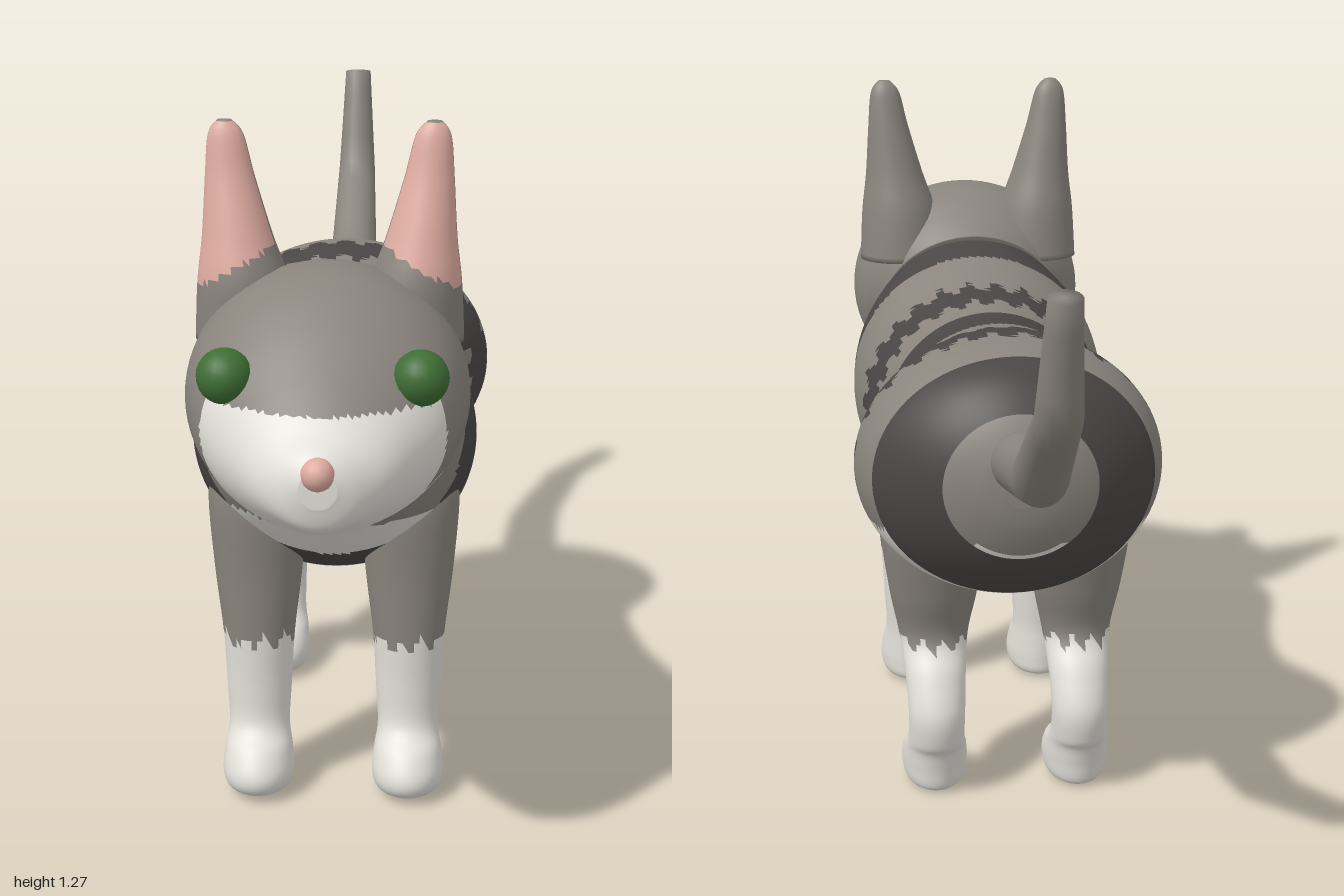
import * as THREE from 'three';

const material = (name, color) => new THREE.MeshStandardMaterial({ name, color });

// Smooth interpolation of one column of a section table
function catmull(a, b, c, d, t) {
  return b + 0.5 * t * (c - a + t * (2 * a - 5 * b + 4 * c - d + t * (3 * (b - c) + d - a)));
}

// Skin elliptical sections [z1, y1, z2, y2, halfWidth, centreX]. Points 1 and 2 are the
// opposite ends of a section: top/bottom (listed front to back) or front/back (listed upward).
function loft(rows, { side = 1, steps = 6, segs = 40, linear = false } = {}) {
  const rings = [];
  const n = rows.length;
  for (let i = 0; i < n - 1; i++) {
    for (let s = 0; s < steps + (i === n - 2 ? 1 : 0); s++) {
      const t = s / steps;
      rings.push(rows[i].map((b, k) => {
        const c = rows[i + 1][k];
        if (linear) return b + (c - b) * t;
        return catmull(rows[Math.max(i - 1, 0)][k], b, c, rows[Math.min(i + 2, n - 1)][k], t);
      }));
    }
  }
  // collapsed rings close both ends
  const collapse = ([z1, y1, z2, y2, , x]) => [(z1 + z2) / 2, (y1 + y2) / 2, (z1 + z2) / 2, (y1 + y2) / 2, 0, x];
  rings.unshift(collapse(rings[0]));
  rings.push(collapse(rings[rings.length - 1]));

  const positions = [], index = [];
  for (const [z1, y1, z2, y2, w, x = 0] of rings) {
    for (let j = 0; j < segs; j++) {
      const a = (j / segs) * Math.PI * 2, c = Math.cos(a) / 2;
      positions.push(side * x + w * Math.sin(a), (y1 + y2) / 2 + (y1 - y2) * c, (z1 + z2) / 2 + (z1 - z2) * c);
    }
  }
  for (let i = 0; i < rings.length - 1; i++) {
    for (let j = 0; j < segs; j++) {
      const k = (j + 1) % segs;
      const A = i * segs + j, B = i * segs + k, C = A + segs, D = B + segs;
      index.push(A, B, C, B, D, C);
    }
  }
  const geometry = new THREE.BufferGeometry();
  geometry.setAttribute('position', new THREE.Float32BufferAttribute(positions, 3));
  geometry.setIndex(index);
  geometry.computeVertexNormals();
  return geometry;
}

// Sort faces into colour groups by a rule on face centre and normal
function paint(geometry, count, rule) {
  const bins = Array.from({ length: count }, () => []);
  const p = geometry.attributes.position, ix = geometry.index.array;
  const tri = new THREE.Triangle(), mid = new THREE.Vector3(), normal = new THREE.Vector3();
  for (let i = 0; i < ix.length; i += 3) {
    tri.setFromAttributeAndIndices(p, ix[i], ix[i + 1], ix[i + 2]);
    tri.getMidpoint(mid);
    tri.getNormal(normal);
    bins[rule(mid, normal)].push(ix[i], ix[i + 1], ix[i + 2]);
  }
  geometry.setIndex(bins.flat());
  let start = 0;
  bins.forEach((bin, m) => {
    geometry.addGroup(start, bin.length, m);
    start += bin.length;
  });
  return geometry;
}

// Zigzag between -1 and 1
const zigzag = (t) => 4 * Math.abs(t - Math.floor(t + 0.5)) - 1;

export function createModel() {
  const cat = new THREE.Group();
  cat.name = 'cat';
  const fur = material('greyFur', 0x8a847d);
  const dark = material('darkStripe', 0x4b4646);
  const white = material('whiteFur', 0xe4e1da);
  const pink = material('pinkSkin', 0xdfaca1);
  const green = material('greenEye', 0x3f6e35);

  const add = (name, geometry, mat) => {
    const mesh = new THREE.Mesh(geometry, mat);
    mesh.name = name;
    cat.add(mesh);
    return mesh;
  };

  // Striped body with pale belly
  const body = loft([
    [0.48, 0.94, 0.62, 0.60, 0.15], [0.44, 0.955, 0.56, 0.555, 0.20],
    [0.38, 0.94, 0.45, 0.475, 0.245], [0.32, 0.92, 0.34, 0.41, 0.258],
    [0.24, 0.895, 0.24, 0.395, 0.243], [0.14, 0.88, 0.14, 0.42, 0.222],
    [0.04, 0.875, 0.04, 0.438, 0.207], [-0.05, 0.88, -0.05, 0.438, 0.215],
    [-0.13, 0.893, -0.13, 0.425, 0.258], [-0.21, 0.90, -0.21, 0.418, 0.288],
    [-0.30, 0.888, -0.30, 0.425, 0.272], [-0.37, 0.86, -0.37, 0.465, 0.215],
    [-0.42, 0.81, -0.42, 0.525, 0.15], [-0.45, 0.75, -0.45, 0.59, 0.08],
    [-0.46, 0.70, -0.46, 0.64, 0.03],
  ], { steps: 8, segs: 96 });
  // stripe front, stripe back, tooth size
  const stripes = [[0.445, 0.355, 0], [0.235, 0.15, 0.025], [0.075, -0.035, 0], [-0.115, -0.215, 0.025], [-0.318, -0.425, 0]];
  paint(body, 3, (c) => {
    const tooth = zigzag((Math.atan2(c.x, c.y - 0.66) / (Math.PI * 2)) * 26);
    if (stripes.some(([f, b, k]) => c.z < f + k * tooth && c.z > b + k * tooth)) return 1;
    return c.y < 0.562 && c.z > -0.43 ? 2 : 0;
  });
  add('body', body, [fur, dark, white]);

  // Head with white muzzle
  const head = loft([
    [0.98, 0.80, 0.98, 0.74, 0.03], [0.96, 0.825, 0.965, 0.70, 0.065],
    [0.92, 0.85, 0.93, 0.685, 0.105], [0.86, 0.91, 0.87, 0.66, 0.15],
    [0.78, 0.98, 0.80, 0.64, 0.20], [0.70, 1.03, 0.72, 0.62, 0.228],
    [0.62, 1.045, 0.65, 0.605, 0.24], [0.53, 1.035, 0.60, 0.602, 0.238],
    [0.47, 1.0, 0.58, 0.605, 0.222], [0.42, 0.96, 0.57, 0.61, 0.19],
  ], { steps: 10, segs: 72 });
  paint(head, 2, (c) => ((c.y < 0.866 && c.z > 0.787) || (c.y < 0.715 && c.z > 0.6) ? 1 : 0));
  add('head', head, [fur, white]);

  // Nose
  add('nose', new THREE.SphereGeometry(0.027, 16, 12), pink).position.set(0, 0.795, 0.973);

  for (const side of [1, -1]) {
    const label = side > 0 ? 'left' : 'right';

    // Ear with pink front
    const ear = loft([
      [0.62, 0.90, 0.45, 0.90, 0.085, 0.145], [0.625, 1.0, 0.46, 1.0, 0.078, 0.147],
      [0.605, 1.08, 0.48, 1.08, 0.06, 0.156], [0.575, 1.18, 0.50, 1.18, 0.042, 0.168],
      [0.56, 1.25, 0.515, 1.25, 0.03, 0.174], [0.548, 1.275, 0.53, 1.275, 0.012, 0.176],
    ], { side });
    paint(ear, 2, (c, n) => (n.z > 0.2 && c.y < 1.272 && c.y > 1.0 + (0.22 - Math.abs(c.x)) * 0.55 ? 1 : 0));
    add(label + 'Ear', ear, [fur, pink]);

    // Eye
    add(label + 'Eye', new THREE.SphereGeometry(0.046, 20, 14), green).position.set(side * 0.158, 0.905, 0.805);

    // Legs with white socks
    const legs = {
      FrontLeg: [
        [0.46, 0, 0.37, 0, 0.03], [0.50, 0.02, 0.34, 0.01, 0.058],
        [0.508, 0.05, 0.335, 0.04, 0.066], [0.485, 0.09, 0.335, 0.08, 0.062],
        [0.445, 0.13, 0.335, 0.12, 0.056], [0.44, 0.20, 0.325, 0.20, 0.06],
        [0.445, 0.30, 0.315, 0.30, 0.066], [0.45, 0.42, 0.305, 0.42, 0.08],
        [0.46, 0.55, 0.30, 0.55, 0.09], [0.45, 0.62, 0.31, 0.62, 0.085],
      ],
      HindLeg: [
        [-0.12, 0, -0.22, 0, 0.03], [-0.075, 0.02, -0.245, 0.01, 0.056],
        [-0.068, 0.05, -0.255, 0.05, 0.063], [-0.10, 0.085, -0.265, 0.085, 0.06],
        [-0.155, 0.12, -0.28, 0.11, 0.054], [-0.18, 0.17, -0.288, 0.17, 0.054],
        [-0.155, 0.23, -0.26, 0.245, 0.058], [-0.105, 0.30, -0.225, 0.31, 0.066],
        [-0.095, 0.40, -0.25, 0.40, 0.085], [-0.085, 0.52, -0.28, 0.52, 0.10],
        [-0.10, 0.62, -0.27, 0.62, 0.09],
      ],
    };
    for (const [part, rows] of Object.entries(legs)) {
      const leg = loft(rows.map((r) => [...r, 0.138]), { side });
      paint(leg, 2, (c) => (c.y < 0.295 + 0.015 * zigzag(c.x * 28) ? 1 : 0));
      add(label + part, leg, [fur, white]);
    }
  }

  // Tail of three straight tapering lengths
  add('tail', loft([
    [-0.40, 0.77, -0.385, 0.65, 0.06], [-0.675, 0.818, -0.70, 0.715, 0.05],
    [-0.872, 0.945, -0.938, 0.905, 0.04], [-0.945, 1.14, -0.998, 1.125, 0.028],
  ], { linear: true, steps: 4, segs: 20 }), fur);

  return cat;
}
